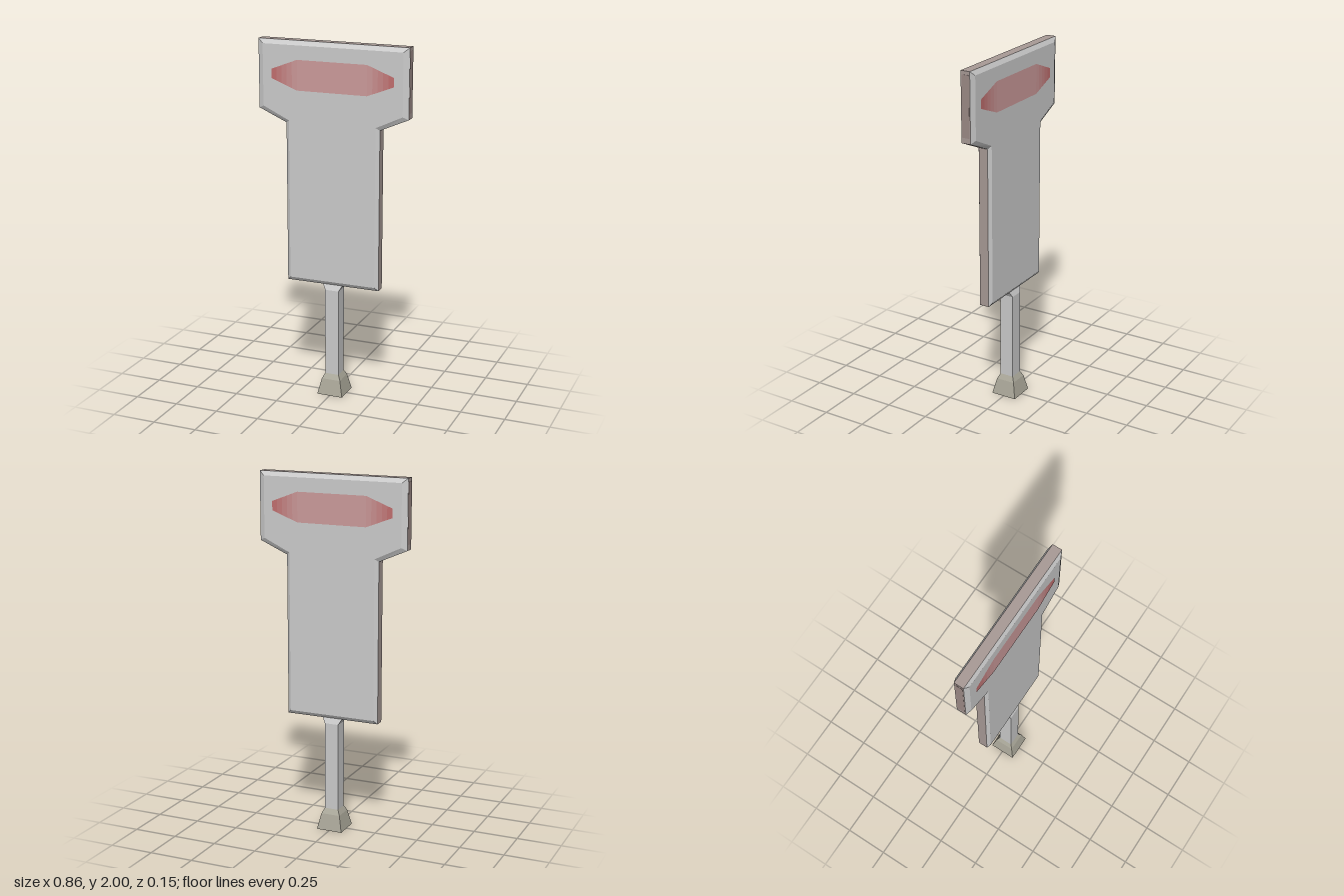
import * as THREE from 'three';

const paint = (color) => new THREE.MeshStandardMaterial({ color, flatShading: true });

// Flat-shaded skin through closed rings of [x, y, z] corners
function loft(rings) {
  const pos = [];
  for (let r = 0; r < rings.length - 1; r++) {
    const a = rings[r], b = rings[r + 1], n = a.length;
    for (let i = 0; i < n; i++) {
      const j = (i + 1) % n;
      pos.push(...a[i], ...a[j], ...b[j], ...a[i], ...b[j], ...b[i]);
    }
  }
  const geo = new THREE.BufferGeometry();
  geo.setAttribute('position', new THREE.Float32BufferAttribute(pos, 3));
  geo.computeVertexNormals();
  return geo;
}

// Rectangular ring at height y
const rectRing = (w, d, y) => [[-w, y, d], [w, y, d], [w, y, -d], [-w, y, -d]];

// Mirror the right half of an outline (bottom to top) into a closed loop
const mirrored = (half) => [...half, ...half.map(([x, y]) => [-x, y]).reverse()];

const flat = (pts) => new THREE.ShapeGeometry(new THREE.Shape(pts.map(([x, y]) => new THREE.Vector2(x, y))));

export function createModel() {
  const model = new THREE.Group();
  const grey = paint(0xcccccc), rimPaint = paint(0xa89a96), basePaint = paint(0xa9a698);
  const add = (name, geo, mat, parent = model) => {
    const mesh = new THREE.Mesh(geo, mat);
    mesh.name = name;
    parent.add(mesh);
    return mesh;
  };

  // T-shaped board: outer rim, bevels, front and back faces
  const outer = mirrored([[0.27, 0.65], [0.27, 1.55], [0.43, 1.62], [0.43, 2]]);
  const inner = mirrored([[0.25, 0.67], [0.25, 1.565], [0.4, 1.635], [0.4, 1.975]]);
  const at = (pts, z) => pts.map(([x, y]) => [x, y, z]);
  const board = new THREE.Group();
  board.name = 'signBoard';
  model.add(board);
  add('boardRim', loft([at(outer, -0.027), at(outer, 0.027)]), rimPaint, board);
  add('frontBevel', loft([at(outer, 0.027), at(inner, 0.04)]), grey, board);
  add('backBevel', loft([at(inner, -0.04), at(outer, -0.027)]), grey, board);

  // Stripe in bands that deepen in red toward the tips
  const halfHeight = (x) => THREE.MathUtils.mapLinear(Math.max(x, 0.2), 0.2, 0.35, 0.083, 0.025);
  const bands = [[-0.2, 0.2, 0xcc9b9b]];
  const steps = 5;
  for (let i = 0; i < steps; i++) {
    const x0 = 0.2 + 0.15 * i / steps, x1 = 0.2 + 0.15 * (i + 1) / steps;
    const color = new THREE.Color(0xcc9b9b).lerp(new THREE.Color(0xc06868), (i + 0.5) / steps);
    bands.push([x0, x1, color], [-x1, -x0, color]);
  }

  for (const [side, turn] of [['front', 0], ['back', Math.PI]]) {
    const face = new THREE.Group();
    face.name = side + 'Face';
    face.rotation.y = turn;
    board.add(face);
    add('panel', flat(inner), grey, face).position.z = 0.04;
    for (const [x0, x1, color] of bands) {
      const h0 = halfHeight(Math.abs(x0)), h1 = halfHeight(Math.abs(x1));
      const y = 1.815;
      const band = flat([[x0, y - h0], [x1, y - h1], [x1, y + h1], [x0, y + h0]]);
      add('redStripe', band, paint(color), face).position.z = 0.0415;
    }
  }

  // Narrow strips set in the ends of the head
  for (const s of [-1, 1]) {
    add('endStrip', new THREE.BoxGeometry(0.004, 0.33, 0.044), paint(0x9c8a86), board)
      .position.set(s * 0.429, 1.815, 0);
  }

  // Square post, spreading sideways under the board
  add('post', loft([
    rectRing(0.04, 0.04, 0.12), rectRing(0.04, 0.04, 0.62), rectRing(0.06, 0.027, 0.655),
  ]), grey);

  // Flared foot, hollow underneath
  const footProfile = [[0, 0.1], [0.025, 0.1], [0.025, 0.05], [0.055, 0], [0.075, 0], [0.055, 0.09], [0.04, 0.12]];
  add('foot', loft(footProfile.map(([w, y]) => rectRing(w, w, y))), basePaint);

  return model;
}
